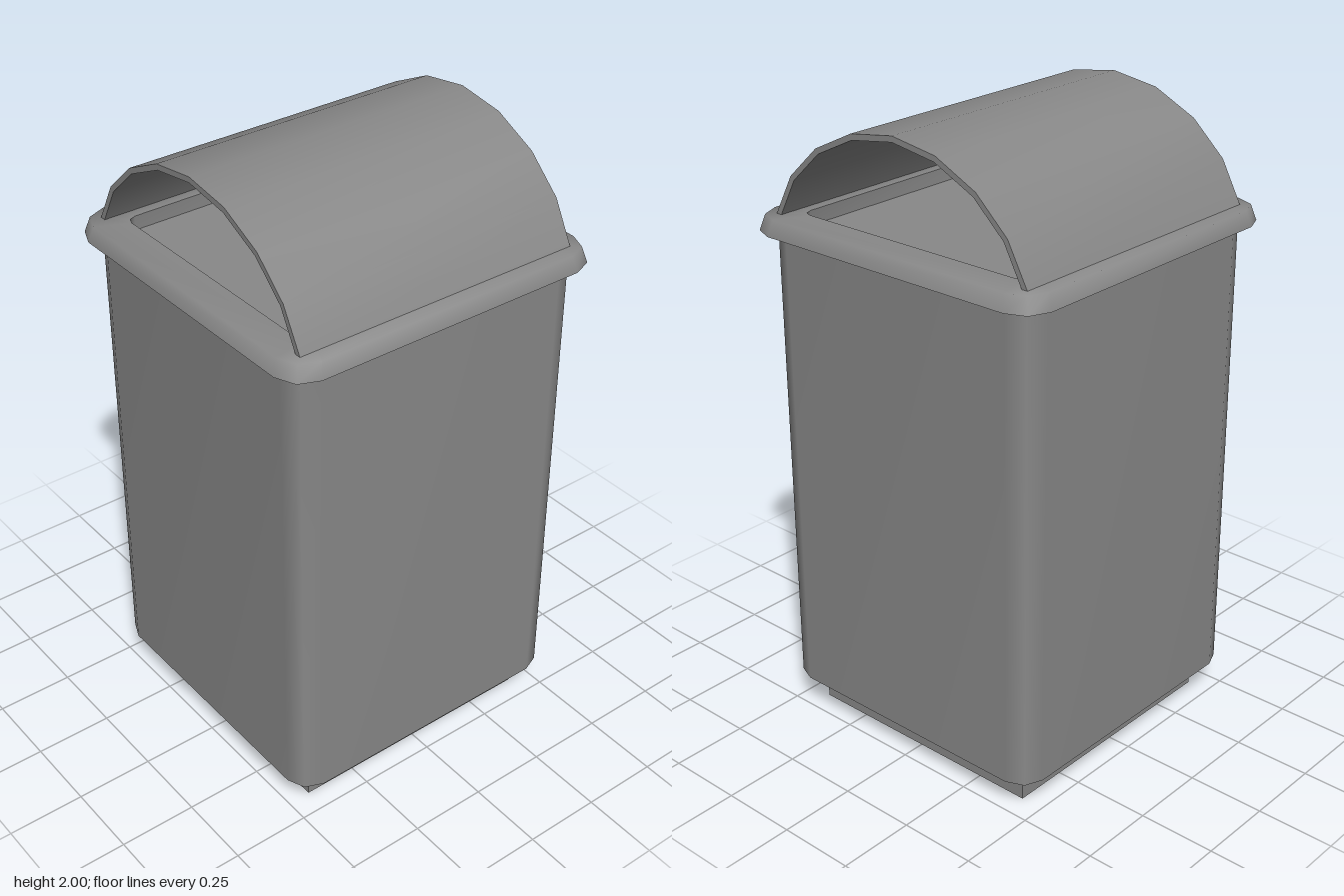
import * as THREE from 'three';
import { toCreasedNormals } from 'three/addons/utils/BufferGeometryUtils.js';

const material = new THREE.MeshStandardMaterial({ color: 0x888888, side: THREE.DoubleSide });

// Outline of a square with rounded corners, running from +x towards +z
function squareLoop(half, radius, y, steps) {
  const points = [];
  for (let corner = 0; corner < 4; corner++) {
    const mid = (corner + 0.5) * Math.PI / 2;
    const cx = Math.sign(Math.cos(mid)) * (half - radius);
    const cz = Math.sign(Math.sin(mid)) * (half - radius);
    for (let s = 0; s <= steps; s++) {
      const a = (corner + (steps ? s / steps : 0)) * Math.PI / 2;
      points.push([cx + radius * Math.cos(a), y, cz + radius * Math.sin(a)]);
    }
  }
  return points;
}

// Skin over a stack of [half width, corner radius, y] sections
function loft(sections, steps) {
  const loops = sections.map(([half, radius, y]) => squareLoop(half, radius, y, steps));
  const n = loops[0].length;
  const index = [];
  for (let i = 0; i < loops.length - 1; i++) {
    for (let j = 0; j < n; j++) {
      const a = i * n + j, b = i * n + (j + 1) % n;
      index.push(a, a + n, b, b, a + n, b + n);
    }
  }
  const geometry = new THREE.BufferGeometry();
  geometry.setAttribute('position', new THREE.Float32BufferAttribute(loops.flat(2), 3));
  geometry.setIndex(index);
  geometry.computeVertexNormals();
  return geometry;
}

function named(name, geometry) {
  const mesh = new THREE.Mesh(geometry, material);
  mesh.name = name;
  return mesh;
}

export function createModel() {
  const bin = new THREE.Group();
  bin.name = 'bin';

  // Open square plinth
  bin.add(named('base', toCreasedNormals(loft([[0.425, 0, 0], [0.425, 0, 0.107]], 0), 0.5)));

  // Hollow body with a ledge turned in to the plinth
  bin.add(named('body', loft([[0.505, 0.08, 0.107], [0.505, 0.08, 1.626]], 2)));
  bin.add(named('bodyLedge', loft([[0.425, 0.004, 0.107], [0.505, 0.08, 0.107]], 2)));

  // Flat panel recessed inside the rim
  const panel = named('topPanel', new THREE.PlaneGeometry(0.95, 0.95));
  panel.rotation.x = -Math.PI / 2;
  panel.position.y = 1.63;
  bin.add(panel);

  // Sloping rim around the opening
  const rim = loft([
    [0.43, 0.03, 1.626], [0.547, 0.09, 1.626], [0.532, 0.085, 1.676], [0.43, 0.03, 1.676], [0.43, 0.03, 1.626],
  ], 2);
  bin.add(named('rim', toCreasedNormals(rim, 1.4)));

  // Thin arched hood, open at front and back
  const outer = [[0.488, 1.67], [0.416, 1.803], [0.305, 1.906], [0.16, 1.976], [0, 2]];
  const inner = [[0.468, 1.67], [0.402, 1.793], [0.296, 1.891], [0.156, 1.958], [0, 1.982]];
  const arch = half => [...half, ...half.slice(0, -1).reverse().map(([x, y]) => [-x, y])];
  const outline = [...arch(outer), ...arch(inner).reverse()].map(([x, y]) => new THREE.Vector2(x, y));
  const hood = new THREE.ExtrudeGeometry(new THREE.Shape(outline), { depth: 0.964, bevelEnabled: false });
  hood.translate(0, 0, -0.482);
  bin.add(named('hood', toCreasedNormals(hood, 0.6)));

  return bin;
}
